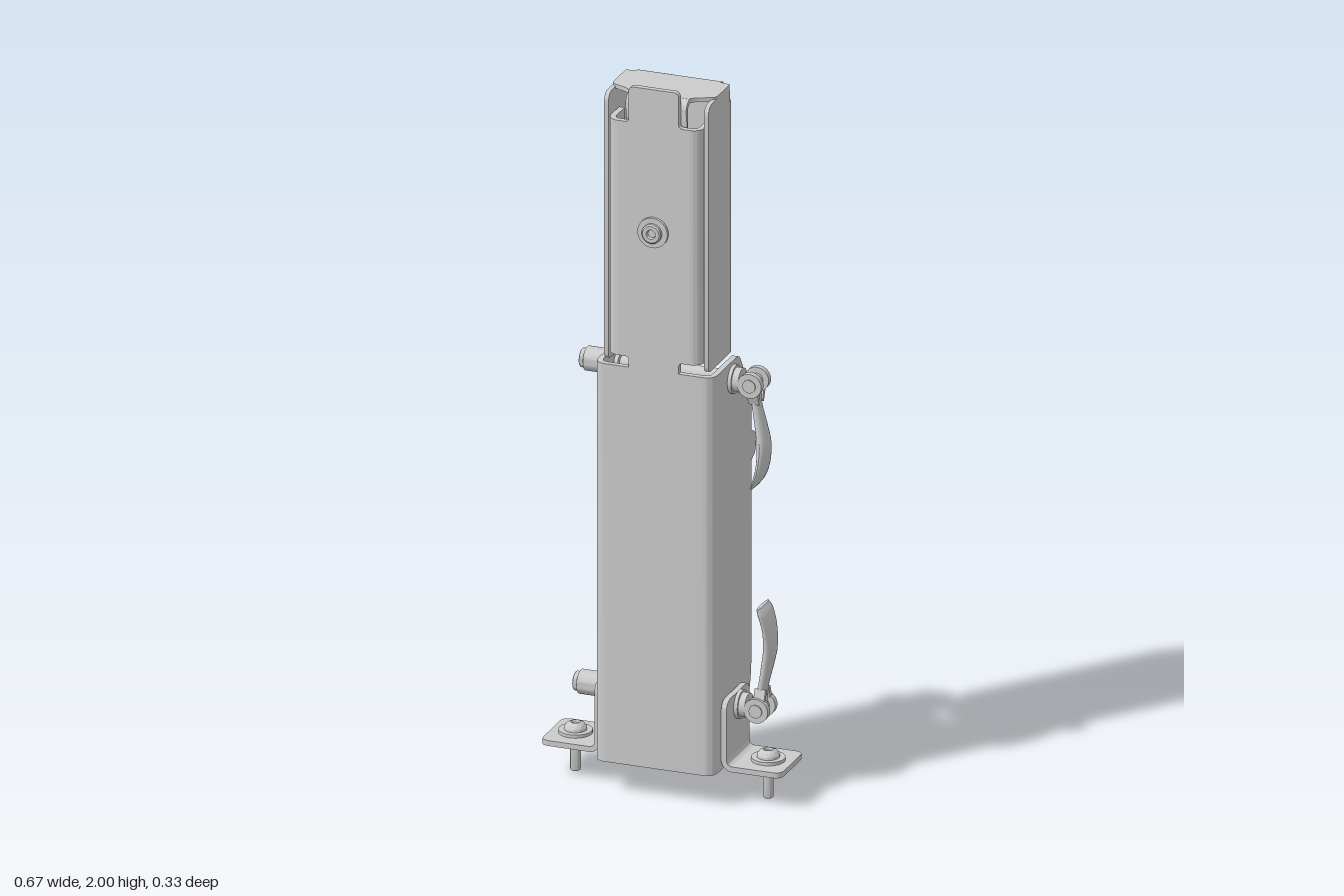
import * as THREE from 'three';
import { toCreasedNormals } from 'three/addons/utils/BufferGeometryUtils.js';

const mat = new THREE.MeshStandardMaterial({ color: 0xcccccc, side: THREE.DoubleSide });

function add(parent, name, geo, x = 0, y = 0, z = 0) {
  const m = new THREE.Mesh(geo, mat);
  m.name = name;
  m.position.set(x, y, z);
  parent.add(m);
  return m;
}

function extrude(shape, depth) {
  const g = new THREE.ExtrudeGeometry(shape, { depth, bevelEnabled: false, curveSegments: 10 });
  return toCreasedNormals(g, 0.5);
}
// Outline drawn in (x, z), extruded downward from its mesh height
const plan = (shape, h) => extrude(shape, h).rotateX(Math.PI / 2);
// Outline drawn in (z, y), extruded toward -x from its mesh position
const profile = (shape, t) => extrude(shape, t).rotateY(-Math.PI / 2);

// Polygon with rounded corners: points are [x, y, radius]
function rounded(points, Type = THREE.Shape) {
  const s = new Type(), n = points.length;
  points.forEach(([x, y, r = 0], i) => {
    const toward = ([px, py]) => {
      const d = Math.hypot(px - x, py - y);
      return [x + (px - x) * r / d, y + (py - y) * r / d];
    };
    const a = toward(points[(i + n - 1) % n]), b = toward(points[(i + 1) % n]);
    if (i) s.lineTo(...a); else s.moveTo(...a);
    if (r) s.quadraticCurveTo(x, y, ...b);
  });
  s.closePath();
  return s;
}
const rect = (x0, x1, y0, y1, r, Type) =>
  rounded([[x0, y0, r], [x1, y0, r], [x1, y1, r], [x0, y1, r]], Type);

// U section: half width w, web at z = web, arms ending at z = end
function uSection(w, web, end, t, r) {
  const s = Math.sign(web - end), i = web - s * t;
  return rounded([[-w, end], [-w, web, r], [w, web, r], [w, end],
    [w - t, end], [w - t, i, r - t], [-w + t, i, r - t], [-w + t, end]]);
}

// Solid of revolution about y from [radius, height] points
const turned = (pts, n = 32) =>
  toCreasedNormals(new THREE.LatheGeometry(pts.map(p => new THREE.Vector2(...p)), n), 0.6);
// Cylinder along x between x0 and x1
const rodX = (r, x0, x1) =>
  new THREE.CylinderGeometry(r, r, x1 - x0, 32).rotateZ(Math.PI / 2).translate((x0 + x1) / 2, 0, 0);

// Curved handle hanging from the origin: rows are [x, y, half thickness, half width]
function handleGeometry() {
  const rows = [[0, -0.015, 0.018, 0.018], [0.008, -0.06, 0.013, 0.02], [0.02, -0.12, 0.015, 0.027],
    [0.028, -0.17, 0.016, 0.034], [0.025, -0.23, 0.013, 0.043], [0.014, -0.27, 0.01, 0.048], [0.006, -0.288, 0.005, 0.042]];
  const path = new THREE.CatmullRomCurve3(rows.map(r => new THREE.Vector3(r[0], r[1], 0)));
  const size = new THREE.CatmullRomCurve3(rows.map(r => new THREE.Vector3(r[2], r[3], 0)));
  const g = new THREE.CylinderGeometry(1, 1, 1, 24, 28);
  const p = g.attributes.position;
  for (let i = 0; i < p.count; i++) {
    const t = 0.5 - p.getY(i), c = path.getPoint(t), s = size.getPoint(t);
    p.setXYZ(i, c.x + p.getX(i) * s.x, c.y, p.getZ(i) * s.y);
  }
  g.computeVertexNormals();
  return g;
}

// Cross rod with end nut, washers and cam lever
function clamp(name, y, rodRadius, shift, up) {
  const g = new THREE.Group();
  g.name = name;
  g.position.set(0, y, 0.003);
  add(g, 'crossRod', rodX(rodRadius, -0.18 - shift, 0.18 + shift));
  const nut = turned([[0, 0.085], [0.024, 0.085], [0.026, 0.083], [0.026, 0.073], [0.033, 0.07], [0.033, 0], [0, 0]]);
  add(g, 'endNut', nut.rotateZ(Math.PI / 2), -0.169 - shift);
  add(g, 'washer', rodX(0.039, 0.168 + shift, 0.178 + shift));
  add(g, 'camSeat', rodX(0.033, 0.178 + shift, 0.196 + shift));
  add(g, 'camStem', rodX(0.015, 0.19 + shift, 0.235 + shift));

  const lever = new THREE.Group();
  lever.name = 'camLever';
  lever.position.x = 0.228 + shift;
  if (up) lever.rotation.x = Math.PI;
  g.add(lever);
  for (const s of [-1, 1]) {
    const cheek = new THREE.CylinderGeometry(0.034, 0.034, 0.017, 32).rotateX(Math.PI / 2);
    add(lever, 'camCheek', cheek, 0, 0, s * 0.027);
    const strut = new THREE.BoxGeometry(0.03, 0.045, 0.012);
    add(lever, 'forkArm', strut, 0.006, -0.034, s * 0.02).rotation.x = s * 0.35;
  }
  add(lever, 'pivotPin', new THREE.CylinderGeometry(0.018, 0.018, 0.078, 24).rotateX(Math.PI / 2));
  add(lever, 'handle', handleGeometry());
  return g;
}

// Angle bracket with floor bolt, built on the +x side
function foot() {
  const g = new THREE.Group();
  g.name = 'footBracket';
  const t = 0.015, z0 = -0.076, z1 = 0.091;
  add(g, 'bracketUpright', profile(rounded([[z0, 0.12], [z1, 0.12], [z1, 0.285, 0.03], [z0, 0.285, 0.03]]), t), 0.17 + t);
  const bend = new THREE.Shape();
  bend.absarc(0.2, 0.12, 0.03, Math.PI, 1.5 * Math.PI, false);
  bend.absarc(0.2, 0.12, 0.03 - t, 1.5 * Math.PI, Math.PI, true);
  add(g, 'bracketBend', extrude(bend, z1 - z0), 0, 0, z0);
  add(g, 'bracketBase', plan(rounded([[0.2, z0], [0.337, z0, 0.025], [0.337, z1, 0.025], [0.2, z1]]), t), 0, 0.09 + t);
  add(g, 'floorBolt', turned([[0, 0], [0.012, 0], [0.014, 0.003], [0.014, 0.105], [0.045, 0.105], [0.045, 0.114],
    [0.03, 0.114], [0.03, 0.121], [0.024, 0.13], [0.013, 0.135], [0.011, 0.128], [0, 0.128]]), 0.27, 0, 0.008);
  return g;
}

export function createModel() {
  const model = new THREE.Group();
  model.name = 'clampPost';
  const t = 0.016;

  // Lower channel: bent front web and two contoured side plates
  add(model, 'lowerFrontWeb', plan(uSection(0.168, 0.141, 0.1, t, 0.034), 1.12), 0, 1.21);
  const side = rounded([[0.1, 0.09], [0.1, 1.21], [-0.045, 1.21, 0.02], [-0.133, 1.07, 0.02], [-0.133, 0.965, 0.01],
    [-0.165, 0.95, 0.015], [-0.165, 0.895, 0.015], [-0.133, 0.88, 0.01], [-0.133, 0.23, 0.1], [-0.075, 0.155, 0.02], [-0.07, 0.09]]);
  for (const s of [-1, 1]) add(model, 'lowerSidePlate', profile(side, t), s > 0 ? 0.168 : -0.168 + t);

  // Upper front plate: neck, wide middle, rounded top tab, returned edges
  const fw = 0.1;
  add(model, 'upperFrontPlate', extrude(rounded([[-0.07, 1.2], [0.07, 1.2], [0.07, 1.24, 0.012], [fw, 1.24], [fw, 1.9],
    [0.07, 1.9, 0.012], [0.07, 2, 0.015], [-0.07, 2, 0.015], [-0.07, 1.9, 0.012], [-fw, 1.9], [-fw, 1.24], [-0.07, 1.24, 0.012]]), t),
  0, 0, 0.141 - t);
  const curl = new THREE.Shape();
  curl.moveTo(fw, 0.141);
  curl.absarc(fw, 0.109, 0.032, Math.PI / 2, 0, true);
  curl.lineTo(0.132, 0.05);
  curl.lineTo(0.132 - t, 0.05);
  curl.lineTo(0.132 - t, 0.109);
  curl.absarc(fw, 0.109, 0.016, 0, Math.PI / 2, false);
  for (const s of [-1, 1]) {
    const edge = add(model, 'upperFrontFlange', plan(curl, 0.66), 0, 1.9);
    edge.scale.x = s;
  }
  add(model, 'frontScrew', turned([[0, 0], [0.042, 0], [0.042, 0.009], [0.027, 0.009], [0.027, 0.017], [0.023, 0.021],
    [0.013, 0.021], [0.011, 0.012], [0, 0.012]]).rotateX(Math.PI / 2), 0, 1.6, 0.141);

  // Rear housing: sides with rounded corners, bent rear corners, slotted back
  const hw = 0.146, ht = 0.012;
  const hSide = rounded([[-0.035, 1.215], [0.122, 1.215, 0.02], [0.122, 1.965, 0.03], [-0.035, 1.965, 0.02]]);
  const corner = new THREE.Shape();
  corner.absarc(hw - 0.035, -0.035, 0.035, -Math.PI / 2, 0, false);
  corner.absarc(hw - 0.035, -0.035, 0.035 - ht, 0, -Math.PI / 2, true);
  for (const s of [-1, 1]) {
    add(model, 'housingSide', profile(hSide, ht), s > 0 ? hw : -hw + ht);
    add(model, 'housingCorner', plan(corner, 0.705), 0, 1.92).scale.x = s;
  }
  const bw = hw - 0.035;
  const back = rect(-bw, bw, 1.215, 1.94, 0);
  const slot = new THREE.Path();
  slot.absarc(0, 1.78, 0.065, 0, Math.PI, false);
  slot.absarc(0, 1.46, 0.065, Math.PI, 2 * Math.PI, false);
  slot.closePath();
  back.holes.push(slot);
  add(model, 'housingBack', extrude(back, ht), 0, 0, -0.07);
  add(model, 'innerPanel', new THREE.BoxGeometry(0.2, 0.6, 0.008), 0, 1.62, -0.05);

  // Top cap: tapered plate between bent rear and front lips
  add(model, 'topCap', plan(rounded([[-0.118, -0.04], [-0.132, -0.036, 0.004], [-hw, -0.036, 0.004], [-hw, 0.066, 0.015],
    [-0.09, 0.088, 0.015], [-0.085, 0.1], [0.085, 0.1], [0.09, 0.088, 0.015], [hw, 0.066, 0.015], [hw, -0.036, 0.004],
    [0.132, -0.036, 0.004], [0.118, -0.04]]), ht), 0, 1.971);
  const lip = (z, dir, drop) => {
    const s = new THREE.Shape(), y = 1.941, a = dir > 0 ? 0 : Math.PI;
    s.moveTo(z + dir * 0.03, drop);
    s.absarc(z, y, 0.03, a, Math.PI / 2, dir < 0);
    s.absarc(z, y, 0.03 - ht, Math.PI / 2, a, dir > 0);
    s.lineTo(z + dir * (0.03 - ht), drop);
    return s;
  };
  add(model, 'capRearBend', profile(lip(-0.04, -1, 1.935), 0.236), 0.118);
  add(model, 'capFrontLip', profile(lip(0.095, 1, 1.87), 0.17), 0.085);

  // Rear screws
  for (const x of [-0.07, 0.07]) for (const y of [1.37, 1.88]) {
    add(model, 'rearScrew', turned([[0, 0], [0.027, 0], [0.026, 0.005], [0.021, 0.012], [0.012, 0.017], [0.01, 0.01], [0, 0.01]], 24)
      .rotateX(-Math.PI / 2), x, y, -0.07);
  }

  // Clamping rods, spacers and feet
  model.add(clamp('upperClamp', 1.16, 0.022, 0, false));
  model.add(clamp('lowerClamp', 0.248, 0.027, 0.018, true));
  for (const s of [-1, 1]) {
    add(model, 'spacer', rodX(0.036, -0.006, 0.006), s * 0.147, 1.16, 0.003);
    const f = foot();
    f.scale.x = s;
    model.add(f);
  }
  return model;
}
